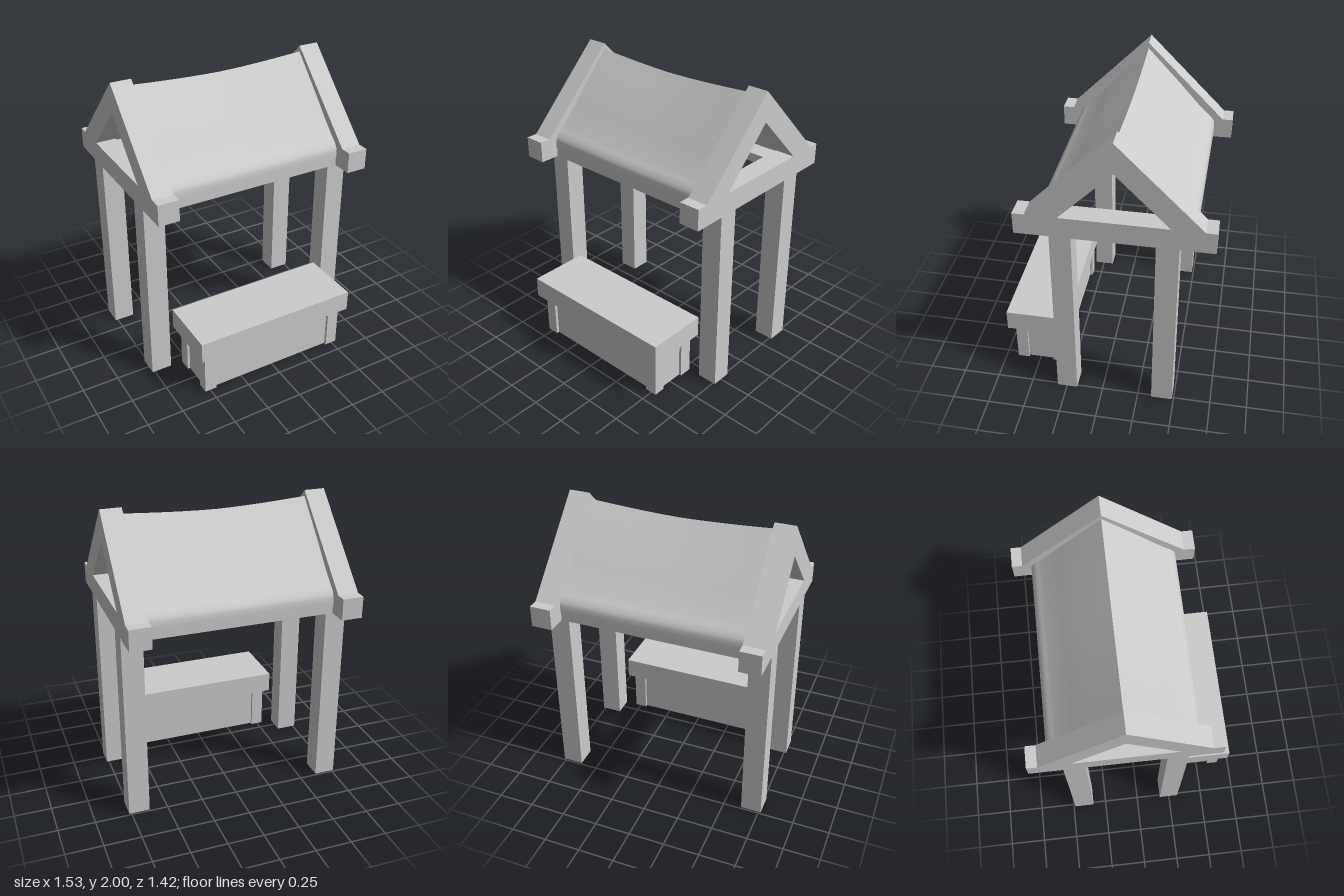
import * as THREE from 'three';
import { ParametricGeometry } from 'three/addons/geometries/ParametricGeometry.js';

export function createModel() {
  const root = new THREE.Group();
  root.name = 'marketStall';
  const grey = new THREE.MeshStandardMaterial({ color: 0xcccccc });
  grey.name = 'plain grey';

  const add = (name, geometry) => {
    const mesh = new THREE.Mesh(geometry, grey);
    mesh.name = name;
    root.add(mesh);
  };
  // Box given by its minimum and maximum on each axis
  const box = (name, x0, x1, y0, y1, z0, z1) => {
    const g = new THREE.BoxGeometry(x1 - x0, y1 - y0, z1 - z0);
    g.translate((x0 + x1) / 2, (y0 + y1) / 2, (z0 + z1) / 2);
    add(name, g);
  };

  const ridgeZ = -0.088;
  const inner = 0.624, outer = 0.766;

  // Two end frames: posts, cross beam and open triangular gable
  for (const side of [1, -1]) {
    const label = side > 0 ? 'left' : 'right';
    const x0 = side > 0 ? inner : -outer;
    const x1 = side > 0 ? outer : -inner;
    box(label + 'FrontPost', x0, x1, 0, 1.305, 0.178, 0.316);
    box(label + 'BackPost', x0, x1, 0, 1.305, -0.488, -0.345);
    box(label + 'CrossBeam', x0, x1, 1.305, 1.45, -0.708, 0.538);

    const gable = new THREE.Shape([
      [-0.55, 1.45], [-0.345, 1.45], [0, 1.798], [0.345, 1.45], [0.55, 1.45], [0, 2],
    ].map(([z, y]) => new THREE.Vector2(z + ridgeZ, y)));
    const g = new THREE.ExtrudeGeometry(gable, { depth: outer - inner, bevelEnabled: false });
    g.rotateY(-Math.PI / 2).translate(x1, 0, 0);
    add(label + 'Gable', g);
  }

  // Sagging canopy: the upper skin runs ridge to eave, the lower one back again
  const curve = pts => new THREE.CatmullRomCurve3(pts.map(([z, y]) => new THREE.Vector3(0, y, z)));
  const upper = curve([[0, 1.96], [0.12, 1.832], [0.24, 1.702], [0.34, 1.59], [0.42, 1.506],
    [0.465, 1.464], [0.486, 1.432], [0.492, 1.4], [0.493, 1.365]]);
  const lower = curve([[0.493, 1.365], [0.46, 1.385], [0.41, 1.45], [0.35, 1.525],
    [0.28, 1.61], [0.18, 1.723], [0.09, 1.82], [0, 1.915]]);
  const skin = (path, side) => new ParametricGeometry((u, v, target) => {
    const p = path.getPoint(v);
    const across = 1 - 2 * u;
    const height = Math.max(0, (p.y - 1.365) / 0.595);
    const sag = 0.03 * height * (1 - Math.abs(across) ** 1.6);
    target.set(across * side * 0.63, p.y - sag, ridgeZ + side * p.z);
  }, 12, 28);

  for (const side of [1, -1]) {
    const label = side > 0 ? 'front' : 'back';
    add(label + 'CanopyTop', skin(upper, side));
    add(label + 'CanopyUnderside', skin(lower, side));
    // Eave beam between the end frames
    const za = ridgeZ + side * 0.35, zb = ridgeZ + side * 0.488;
    box(label + 'EaveBeam', -inner, inner, 1.305, 1.367, Math.min(za, zb), Math.max(za, zb));
  }

  // Counter in front: slab, slightly recessed body and four corner legs
  box('counterTop', -0.58, 0.58, 0.305, 0.45, 0.282, 0.709);
  box('counterBody', -0.52, 0.52, 0, 0.305, 0.335, 0.645);
  for (const x of [-0.538, 0.453]) {
    for (const [z0, z1] of [[0.315, 0.405], [0.584, 0.665]]) {
      box('counterLeg', x, x + 0.085, 0, 0.305, z0, z1);
    }
  }
  return root;
}
